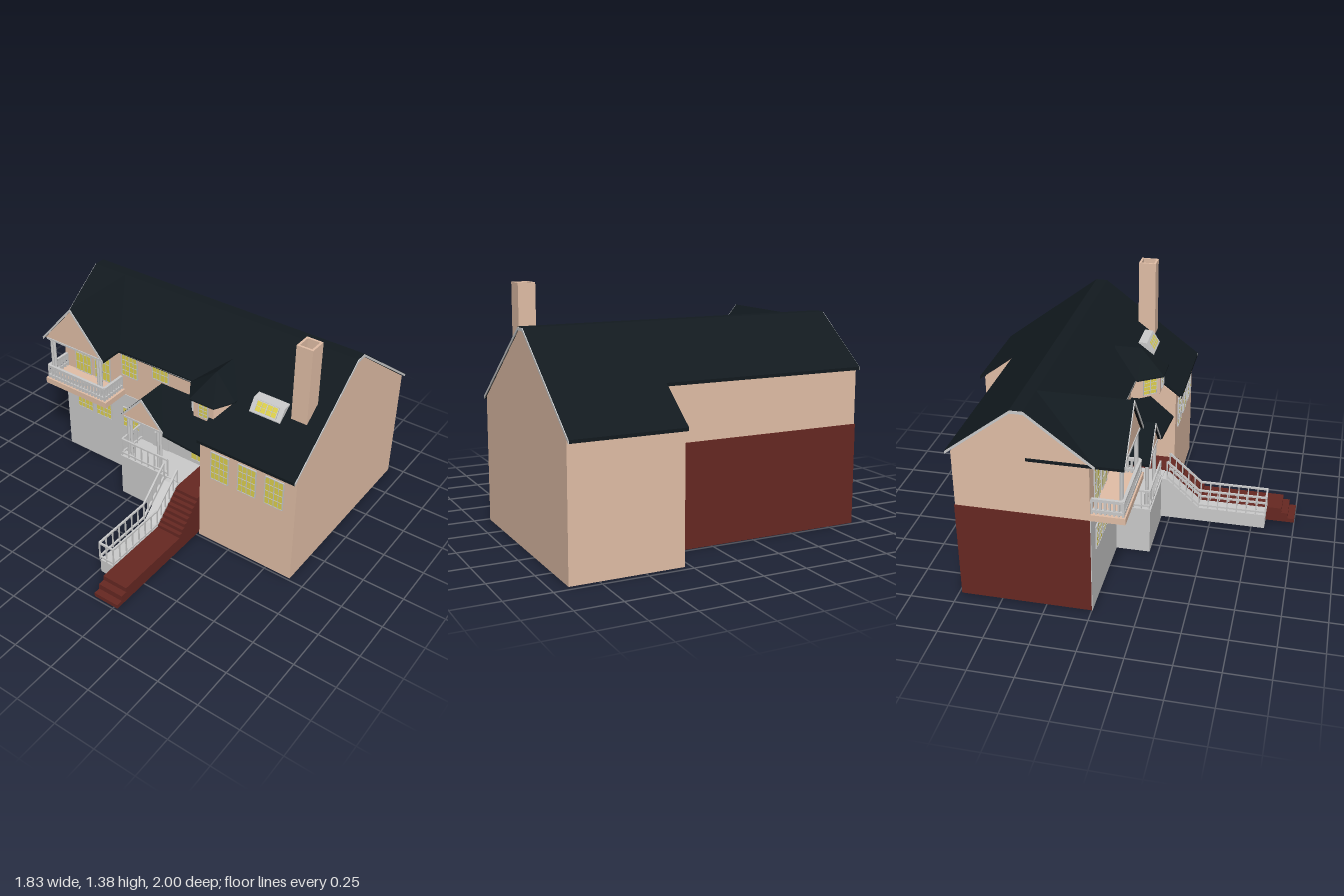
import * as THREE from 'three';
import { ConvexGeometry } from 'three/addons/geometries/ConvexGeometry.js';

const mat = (color) => new THREE.MeshStandardMaterial({ color, side: THREE.DoubleSide, flatShading: true });
const V = (x, y, z) => new THREE.Vector3(x, y, z);

export function createModel() {
  const house = new THREE.Group();
  const tan = mat(0xe2bfa7), red = mat(0x672822), dark = mat(0x121a1f);
  const yellow = mat(0xe0d24e), grey = mat(0xcccccc);

  const add = (name, geo, material, parent = house) => {
    const m = new THREE.Mesh(geo, material);
    m.name = name;
    parent.add(m);
    return m;
  };
  // Box given by its limits
  const box = (name, material, x0, x1, y0, y1, z0, z1, parent) => add(name,
    new THREE.BoxGeometry(x1 - x0, y1 - y0, z1 - z0)
      .translate((x0 + x1) / 2, (y0 + y1) / 2, (z0 + z1) / 2), material, parent);
  const shapeOf = (pts) => new THREE.Shape(pts.map(([a, b]) => new THREE.Vector2(a, b)));
  const extrude = (pts, depth) => new THREE.ExtrudeGeometry(shapeOf(pts), { depth, bevelEnabled: false });
  // Profile of (z, y) points swept along x
  const alongX = (name, material, pts, x0, x1) =>
    add(name, extrude(pts, x1 - x0).rotateY(-Math.PI / 2).translate(x1, 0, 0), material);
  // Profile of (x, y) points swept along z
  const alongZ = (name, material, pts, z0, z1) =>
    add(name, extrude(pts, z1 - z0).translate(0, 0, z0), material);
  // Turns an upper line into a band of the given thickness
  const band = (pts, t) => [...pts, ...pts.map(([a, b]) => [a, b - t]).reverse()];
  // Square bar between two points
  const bar = (name, a, b, w, parent, material = grey) => {
    const m = add(name, new THREE.BoxGeometry(w, w, a.distanceTo(b)), material, parent);
    m.position.copy(a).add(b).multiplyScalar(0.5);
    m.lookAt(b);
  };

  // Wing walls: open below, gables follow the roof pitch
  const ridge = [[-0.33, 1.155], [-0.4, 1.155]];
  const wing = (name, x0, x1, front, back, eave) => {
    const gable = [[front, 0], [front, eave], ...ridge, [back, eave], [back, 0]];
    alongX(name + 'Gable', tan, gable, x0, x0 + 0.015);
    alongX(name + 'Gable', tan, gable, x1 - 0.015, x1);
    box(name + 'FrontWall', tan, x0, x1, 0, eave, front - 0.015, front);
    box(name + 'BackWall', tan, x0, x1, 0, eave, back, back + 0.015);
  };
  wing('rightWing', 0.285, 0.91, 0.235, -0.965, 0.722);
  wing('leftWing', -0.91, 0.29, 0, -0.73, 0.9);

  // Lower wall cladding
  box('frontCladding', grey, -0.913, 0.285, 0, 0.575, 0, 0.004);
  box('backCladding', red, -0.913, 0.285, 0, 0.575, -0.734, -0.73);
  box('sideCladding', red, -0.914, -0.91, 0, 0.575, -0.734, 0);

  // Main roofs and pale gable trim
  const roofR = [[0.27, 0.72], [-0.33, 1.175], [-0.4, 1.175], [-1, 0.72]];
  const roofL = [[0.03, 0.902], [-0.33, 1.175], [-0.4, 1.175], [-0.76, 0.902]];
  alongX('rightRoof', dark, band(roofR, 0.018), 0.285, 0.912);
  alongX('leftRoof', dark, band(roofL, 0.018), -0.912, 0.285);
  alongX('rightGableTrim', grey, band(roofR.map(([z, y]) => [z, y - 0.003]), 0.016), 0.911, 0.916);
  alongX('leftGableTrim', grey, band(roofL.map(([z, y]) => [z, y - 0.003]), 0.016), -0.916, -0.911);
  box('eaveTrim', grey, -0.91, 0.285, 0.888, 0.9, 0.022, 0.03);
  box('eaveTrim', grey, 0.285, 0.91, 0.708, 0.72, 0.26, 0.268);

  // Paned window, centred on its own origin and facing +z
  const windowUnit = (x, y, z, w, h, cols = 4, rows = 4, turn = 0) => {
    const g = new THREE.Group();
    g.name = 'window';
    box('glass', yellow, -w / 2, w / 2, -h / 2, h / 2, 0, 0.005, g);
    for (let i = 0; i <= cols; i++) {
      const t = i % (cols / 2) ? 0.0012 : 0.0025, c = -w / 2 + w * i / cols;
      box('upright', grey, c - t, c + t, -h / 2, h / 2, 0, 0.008, g);
    }
    for (let i = 0; i <= rows; i++) {
      const t = i % rows ? 0.0012 : 0.0025, c = -h / 2 + h * i / rows;
      box('crossbar', grey, -w / 2, w / 2, c - t, c + t, 0, 0.008, g);
    }
    g.position.set(x, y, z);
    g.rotation.y = turn;
    house.add(g);
  };
  for (const x of [-0.76, -0.61, -0.395]) windowUnit(x, 0.41, 0.004, 0.12, 0.14);
  for (const x of [-0.76, -0.61]) windowUnit(x, 0.74, 0, 0.12, 0.25);
  windowUnit(-0.395, 0.793, 0, 0.115, 0.145);
  windowUnit(-0.165, 0.832, 0, 0.115, 0.095, 4, 2);
  windowUnit(0.15, 0.433, 0.004, 0.18, 0.225);
  for (const x of [0.42, 0.6, 0.775]) windowUnit(x, 0.563, 0.235, 0.115, 0.185);

  // Railing along a path of base points, with balusters at an even spacing
  const railing = (name, path, height, step, w = 0.009) => {
    const g = new THREE.Group();
    g.name = name;
    house.add(g);
    const up = (p, d) => V(p.x, p.y + d, p.z);
    for (let i = 0; i + 1 < path.length; i++) {
      const [a, b] = [path[i], path[i + 1]];
      for (const d of [0.02, height]) bar('rail', up(a, d), up(b, d), w * 1.2, g);
      const n = Math.max(1, Math.round(a.distanceTo(b) / step));
      for (let k = 0; k <= n; k++) {
        const p = a.clone().lerp(b, k / n);
        bar('baluster', p, up(p, height), w * 0.8, g);
      }
    }
  };
  const posts = (xs, y0, y1, z) => {
    for (const x of xs) add('post', new THREE.CylinderGeometry(0.01, 0.01, y1 - y0, 10)
      .translate(x, (y0 + y1) / 2, z), grey);
  };
  // Gabled canopy: tan pediment, dark slopes, pale front trim
  const canopy = (name, x, half, eave, top, z0, z1, wallZ) => {
    const line = [[x - half, eave], [x, top], [x + half, eave]];
    const lower = (d) => line.map(([a, b]) => [a, b - d]);
    alongZ(name + 'Roof', dark, band(line, 0.016), z0, z1 - 0.005);
    alongZ(name + 'Trim', grey, band(lower(0.001), 0.018), z1 - 0.005, z1);
    alongZ(name + 'Pediment', tan, lower(0.012), wallZ, z1 - 0.02);
    box(name + 'Beam', grey, x - half + 0.02, x + half - 0.02, eave - 0.016, eave - 0.004, z1 - 0.03, z1 - 0.015);
  };

  // Balcony on the left
  box('balconyFloor', tan, -0.912, -0.44, 0.575, 0.612, 0, 0.185);
  railing('balconyRailing', [V(-0.895, 0.612, 0.005), V(-0.895, 0.612, 0.17),
    V(-0.46, 0.612, 0.17), V(-0.46, 0.612, 0.005)], 0.085, 0.024, 0.014);
  posts([-0.868, -0.85, -0.51, -0.492], 0.61, 0.9, 0.155);
  canopy('balcony', -0.68, 0.232, 0.905, 1.175, -0.33, 0.185, 0);

  // Entry porch, terrace and door
  box('terraceFront', grey, -0.322, 0.125, 0, 0.28, 0.19, 0.2);
  box('terraceSide', grey, -0.322, -0.312, 0, 0.28, 0, 0.2);
  box('terraceSide', grey, 0.01, 0.02, 0, 0.28, 0, 0.2);
  box('terraceFloor', grey, -0.322, 0.125, 0.275, 0.29, 0, 0.205);
  box('landing', red, 0.125, 0.285, 0.27, 0.29, 0, 0.236);
  railing('terraceRailing', [V(-0.315, 0.29, 0.005), V(-0.315, 0.29, 0.195), V(0.025, 0.29, 0.195)], 0.118, 0.05);
  posts([-0.278, -0.26, -0.06, -0.042], 0.29, 0.59, 0.17);
  canopy('porch', -0.16, 0.162, 0.588, 0.768, 0, 0.2, 0);
  box('door', grey, -0.225, -0.11, 0.29, 0.54, 0, 0.01);
  box('doorHandle', grey, -0.205, -0.175, 0.398, 0.406, 0.01, 0.025);

  // Sloping roof between porch and right wing
  const shed = [V(-0.16, 0.77, 0), V(0, 0.588, 0.205), V(0.285, 0.58, 0.222), V(0.285, 0.77, 0)];
  add('entryRoof', new ConvexGeometry([...shed, ...shed.map((p) => V(p.x, p.y - 0.014, p.z))]), dark);

  // Bay dormer with hipped roof
  const bay = [[0.1, -0.05], [0.1, 0.05], [0.18, 0.155], [0.315, 0.155], [0.38, 0.05], [0.38, -0.05]];
  add('bayWalls', new ConvexGeometry(bay.flatMap(([x, z]) => [V(x, 0.775, z), V(x, 0.9, z)])), tan);
  const bayEave = [[0.08, -0.05], [0.08, 0.045], [0.17, 0.18], [0.33, 0.18], [0.392, 0.06], [0.392, -0.05]];
  add('bayRoof', new ConvexGeometry([V(0.248, 1.03, -0.13), V(0.248, 1.03, 0.03),
    ...bayEave.flatMap(([x, z]) => [V(x, 0.9, z), V(x, 0.892, z)])]), dark);
  windowUnit(0.25, 0.842, 0.155, 0.06, 0.095, 2, 4);
  windowUnit(0.14, 0.842, 0.1025, 0.085, 0.1, 2, 4, -Math.atan2(0.105, 0.08));

  // Stairs: two low steps, a long path and an upper flight
  const steps = [[1, 0.02], [1, 0.045], [0.96, 0.045], [0.96, 0.08], [0.92, 0.08], [0.92, 0.11], [0.43, 0.11]];
  for (let i = 0; i < 8; i++) {
    const z = 0.43 - i * 0.195 / 8, y = 0.11 + (i + 1) * 0.18 / 8;
    steps.push([z, y], [z - 0.195 / 8, y]);
  }
  alongX('stairs', red, [...steps, [0.2, 0.29], [0.2, 0.02]], 0.125, 0.285);
  // Pale side ramp with railings around it
  alongX('sideRamp', grey, [[0.83, 0.02], [0.83, 0.11], [0.43, 0.11], [0.235, 0.285], [0.2, 0.285], [0.2, 0.02]], 0.03, 0.122);
  const run = (x) => [V(x, 0.29, 0.235), V(x, 0.115, 0.43), V(x, 0.115, 0.83)];
  railing('stairRailing', [...run(0.028), ...run(0.125).reverse()], 0.12, 0.055);

  // Hollow chimney
  const square = (x0, x1, y0, y1) => [[x0, y0], [x1, y0], [x1, y1], [x0, y1]];
  const stack = shapeOf(square(0.725, 0.823, -0.02, 0.085));
  stack.holes.push(shapeOf(square(0.738, 0.81, -0.007, 0.072)));
  add('chimney', new THREE.ExtrudeGeometry(stack, { depth: 0.525, bevelEnabled: false })
    .rotateX(-Math.PI / 2).translate(0, 0.85, 0), tan);

  // Skylight with a sloping pane
  alongX('skylight', grey, [[0.06, 0.87], [0.06, 0.885], [0.015, 0.953], [-0.035, 0.957], [-0.035, 0.93]], 0.485, 0.682);
  windowUnit(0.583, 0.919, 0.037, 0.135, 0.062, 4, 2);
  house.children.at(-1).rotation.x = -Math.atan2(0.045, 0.068);

  return house;
}
